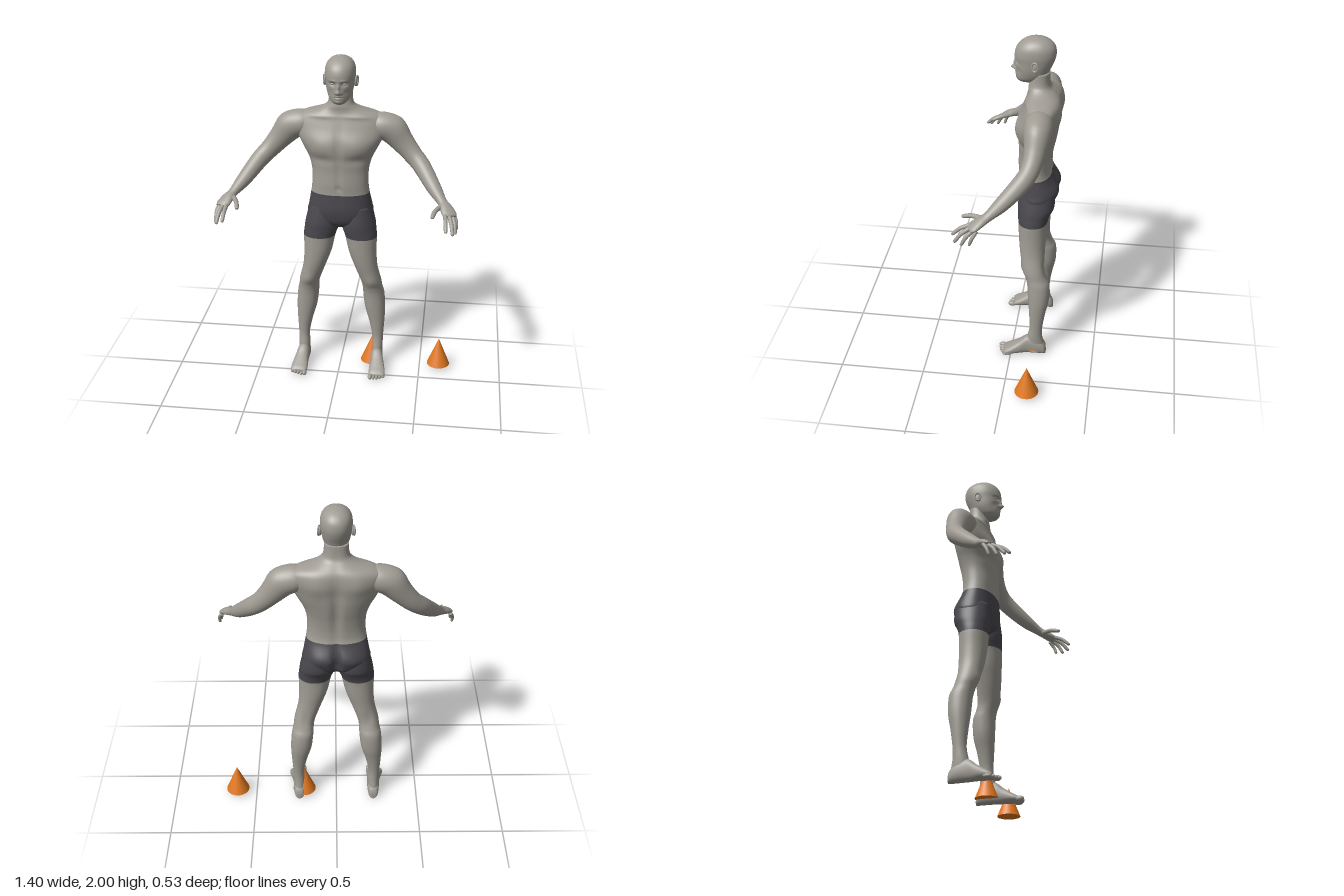
import * as THREE from 'three';

const material = (name, color) => {
  const m = new THREE.MeshStandardMaterial({ color });
  m.name = name;
  return m;
};
const skin = material('skin', 0xa09c94);
const cloth = material('dark cloth', 0x4a484e);
const orange = material('orange', 0xe07820);

// Catmull-Rom blend of four numbers
const blend = (a, b, c, d, t) =>
  0.5 * (2 * b + (c - a) * t + (2 * a - 5 * b + 4 * c - d) * t * t + (3 * b - a - 3 * c + d) * t * t * t);

// Smooth closed skin through sections [centre xyz, half axis u xyz, half axis v xyz]
function loft(sections, { segs = 32, sub = 5, power = 2, bumps = [], mid = -0.13, split = 0 } = {}) {
  const n = sections.length - 1, rows = [], pos = [], idx = [];
  const at = i => sections[Math.max(0, Math.min(n, i))];
  for (let i = 0; i < n; i++)
    for (let k = 0; k < sub; k++)
      rows.push(at(i).map((_, j) => blend(at(i - 1)[j], at(i)[j], at(i + 1)[j], at(i + 2)[j], k / sub)));
  rows.push(sections[n]);
  const vec = (r, o) => new THREE.Vector3(r[o], r[o + 1], r[o + 2]);
  const squash = v => Math.sign(v) * Math.abs(v) ** (2 / power);
  const along = vec(sections[n], 0).sub(vec(sections[0], 0));
  const middle = sections[n >> 1];
  const sign = vec(middle, 3).cross(vec(middle, 6)).dot(along) < 0 ? -1 : 1;
  for (const r of rows)
    for (let j = 0; j < segs; j++) {
      const a = j / segs * Math.PI * 2, cu = squash(Math.cos(a)), cv = squash(Math.sin(a)) * sign;
      const p = [0, 1, 2].map(k => r[k] + r[3 + k] * cu + r[6 + k] * cv);
      // soft bumps and hollows: [x, y, widthX, widthY, side, outward amount]
      let dz = 0;
      for (const [bx, by, wx, wy, side, amount] of bumps) {
        const facing = Math.max(0, Math.min(1, (p[2] - mid) * side / 0.05));
        dz += side * amount * facing * Math.exp(-(((Math.abs(p[0]) - bx) / wx) ** 2) - ((p[1] - by) / wy) ** 2);
      }
      pos.push(p[0], p[1], p[2] + dz);
    }
  const last = rows.length - 1, start = rows.length * segs;
  pos.push(...rows[0].slice(0, 3), ...rows[last].slice(0, 3));
  for (let j = 0; j < segs; j++) idx.push(start, (j + 1) % segs, j);
  for (let i = 0; i < last; i++)
    for (let j = 0; j < segs; j++) {
      const a = i * segs + j, b = i * segs + (j + 1) % segs;
      idx.push(a, b, a + segs, b, b + segs, a + segs);
    }
  for (let j = 0; j < segs; j++) idx.push(start + 1, last * segs + j, last * segs + (j + 1) % segs);
  const g = new THREE.BufferGeometry();
  g.setAttribute('position', new THREE.Float32BufferAttribute(pos, 3));
  g.setIndex(idx);
  if (split) {
    const cut = segs * 3 + split * sub * segs * 6;
    g.addGroup(0, cut, 0);
    g.addGroup(cut, idx.length - cut, 1);
  }
  g.computeVertexNormals();
  return g;
}

// Horizontal section from left/right and front/back limits
const level = (y, x1, x0, zf, zb) =>
  [(x1 + x0) / 2, y, (zf + zb) / 2, (x1 - x0) / 2, 0, 0, 0, 0, (zf - zb) / 2];

// Sections square to a path of [x, y, z, horizontal radius, other radius]
function limb(points, s) {
  const P = points.map(p => new THREE.Vector3(p[0] * s, p[1], p[2]));
  return points.map((p, i) => {
    const t = P[Math.min(i + 1, P.length - 1)].clone().sub(P[Math.max(i - 1, 0)]).normalize();
    const u = t.clone().cross(new THREE.Vector3(0, 1, 0)).normalize();
    const v = t.clone().cross(u);
    return [...P[i].toArray(), ...u.multiplyScalar(p[3]).toArray(), ...v.multiplyScalar(p[4]).toArray()];
  });
}

export function createModel() {
  const model = new THREE.Group();
  const add = (name, geometry, mat = skin) => {
    const mesh = new THREE.Mesh(geometry, mat);
    mesh.name = name;
    model.add(mesh);
    return mesh;
  };
  const ball = (name, x, y, z, a, b, c) => {
    const mesh = add(name, new THREE.SphereGeometry(1, 20, 14));
    mesh.position.set(x, y, z);
    mesh.scale.set(a, b, c);
    return mesh;
  };

  // Torso and neck, with the seat of the shorts below the waist
  const torso = [
    [0.965, 0.05, -0.07, -0.18], [1.0, 0.15, -0.035, -0.225], [1.05, 0.194, -0.02, -0.245],
    [1.1, 0.188, -0.015, -0.25], [1.185, 0.172, -0.02, -0.215], [1.25, 0.165, -0.018, -0.21],
    [1.33, 0.167, -0.02, -0.22], [1.4, 0.185, -0.014, -0.235], [1.46, 0.215, -0.01, -0.245],
    [1.52, 0.245, -0.015, -0.25], [1.58, 0.265, -0.037, -0.258], [1.63, 0.26, -0.055, -0.256],
    [1.66, 0.215, -0.065, -0.246], [1.685, 0.13, -0.07, -0.225], [1.71, 0.085, -0.07, -0.2],
    [1.74, 0.07, -0.075, -0.19], [1.8, 0.066, -0.085, -0.187],
  ].map(([y, w, f, b]) => level(y, w, -w, f, b));
  add('torso', loft(torso, {
    segs: 80, power: 2.25, split: 4,
    bumps: [
      [0.1, 1.48, 0.08, 0.055, 1, 0.012], [0, 1.5, 0.016, 0.1, 1, -0.009], [0.1, 1.4, 0.08, 0.025, 1, -0.008],
      [0, 1.225, 0.01, 0.012, 1, -0.01], [0, 1.3, 0.014, 0.1, 1, -0.006], [0.12, 1.652, 0.1, 0.012, 1, 0.006],
      [0, 1.42, 0.025, 0.2, -1, -0.018], [0.11, 1.57, 0.06, 0.08, -1, 0.012],
      [0, 1.06, 0.02, 0.08, -1, -0.035], [0.1, 1.08, 0.07, 0.06, -1, 0.012],
    ],
  }), [cloth, skin]);

  // Head with a sculpted face
  const head = [
    [1.738, 0.03, -0.022, -0.1], [1.745, 0.04, -0.012, -0.12], [1.762, 0.056, -0.004, -0.15],
    [1.79, 0.069, -0.001, -0.178], [1.82, 0.077, 0.001, -0.192], [1.86, 0.083, 0.003, -0.21],
    [1.9, 0.087, 0.007, -0.22], [1.94, 0.083, -0.004, -0.216], [1.97, 0.067, -0.03, -0.195],
    [1.99, 0.04, -0.065, -0.16], [2.0, 0.004, -0.105, -0.115],
  ].map(([y, w, f, b]) => level(y, w, -w, f, b));
  add('head', loft(head, {
    segs: 110, sub: 8, power: 2.15, mid: -0.08,
    bumps: [
      [0, 1.815, 0.011, 0.012, 1, 0.026], [0, 1.842, 0.009, 0.022, 1, 0.014], [0.014, 1.81, 0.008, 0.007, 1, 0.008],
      [0.033, 1.86, 0.016, 0.011, 1, -0.012], [0.03, 1.879, 0.025, 0.007, 1, 0.005],
      [0, 1.79, 0.02, 0.005, 1, 0.006], [0, 1.777, 0.017, 0.005, 1, 0.006], [0, 1.784, 0.024, 0.003, 1, -0.004],
      [0, 1.757, 0.02, 0.01, 1, 0.006], [0.045, 1.81, 0.014, 0.02, 1, -0.005],
    ],
  }));

  for (const s of [1, -1]) {
    const side = s > 0 ? 'left' : 'right';
    ball(side + 'Eye', s * 0.033, 1.86, -0.02, 0.013, 0.008, 0.012);

    // Ear: rim around a flat shell
    ball(side + 'Ear', s * 0.086, 1.853, -0.11, 0.009, 0.028, 0.017).rotation.y = s * -0.3;
    const rim = add(side + 'EarRim', new THREE.TorusGeometry(0.018, 0.005, 8, 24));
    rim.position.set(s * 0.093, 1.856, -0.112);
    rim.rotation.y = Math.PI / 2 - s * 0.3;
    rim.scale.y = 1.4;

    // Leg, with the shorts covering the upper thigh
    const leg = [
      [1.1, 0.183, 0.02, -0.035, -0.235], [1.0, 0.208, 0.01, -0.025, -0.237], [0.95, 0.215, 0.013, -0.027, -0.215],
      [0.9, 0.22, 0.03, -0.03, -0.2], [0.8, 0.219, 0.052, -0.035, -0.195], [0.7, 0.226, 0.088, -0.045, -0.19],
      [0.6, 0.25, 0.125, -0.065, -0.195], [0.55, 0.257, 0.135, -0.082, -0.207], [0.5, 0.268, 0.138, -0.093, -0.226],
      [0.4, 0.275, 0.15, -0.1, -0.225], [0.3, 0.272, 0.178, -0.108, -0.205], [0.2, 0.266, 0.198, -0.113, -0.19],
      [0.13, 0.265, 0.195, -0.1, -0.19], [0.07, 0.262, 0.198, -0.09, -0.2], [0.02, 0.256, 0.204, -0.1, -0.205],
    ].map(([y, o, i, f, b]) => level(y, s * o, s * i, f, b));
    add(side + 'Leg', loft(leg, {
      segs: 40, power: 2.1, split: 3,
      bumps: [[0.19, 0.61, 0.03, 0.03, 1, 0.008], [0.19, 0.62, 0.025, 0.05, -1, -0.008]],
    }), [cloth, skin]);

    // Foot and toes
    const foot = [
      [-0.213, 0.23, 0.012, 0.035], [-0.202, 0.23, 0.028, 0.07], [-0.16, 0.23, 0.036, 0.11],
      [-0.1, 0.232, 0.038, 0.125], [-0.05, 0.238, 0.043, 0.09], [0, 0.242, 0.05, 0.058],
      [0.03, 0.243, 0.05, 0.04], [0.045, 0.242, 0.045, 0.026],
    ].map(([z, x, w, h]) => [s * x, h / 2 + 0.002, z, w, 0, 0, 0, h / 2, 0]);
    add(side + 'Foot', loft(foot, { segs: 28, power: 2.4 }));
    for (let i = 0; i < 5; i++) {
      const r = i ? 0.0095 : 0.014;
      ball(side + 'Toe', s * (0.205 + i * 0.02), r + 0.003, 0.052 - i * i * 0.0018, r, r + 0.002, 0.026);
    }

    // Arm from the shoulder to the palm
    add(side + 'Arm', loft(limb([
      [0.14, 1.605, -0.155, 0.05, 0.04], [0.22, 1.59, -0.152, 0.078, 0.076], [0.3, 1.56, -0.152, 0.075, 0.085],
      [0.36, 1.487, -0.147, 0.06, 0.067], [0.42, 1.42, -0.13, 0.052, 0.056], [0.475, 1.365, -0.092, 0.05, 0.052],
      [0.55, 1.275, 0.003, 0.042, 0.041], [0.6, 1.222, 0.072, 0.029, 0.026], [0.625, 1.2, 0.112, 0.038, 0.023],
      [0.645, 1.178, 0.147, 0.043, 0.019], [0.652, 1.168, 0.165, 0.034, 0.012],
    ], s), { segs: 36 }));

    // Fingers: base, knuckle and tip of each
    const fingers = [
      ['Thumb', [0.598, 1.205, 0.1], [0.566, 1.198, 0.165], [0.55, 1.18, 0.222], 0.013],
      ['IndexFinger', [0.622, 1.182, 0.15], [0.627, 1.155, 0.215], [0.631, 1.112, 0.265], 0.0115],
      ['MiddleFinger', [0.642, 1.178, 0.15], [0.659, 1.143, 0.205], [0.67, 1.09, 0.248], 0.0115],
      ['RingFinger', [0.66, 1.172, 0.14], [0.678, 1.133, 0.18], [0.684, 1.082, 0.208], 0.011],
      ['LittleFinger', [0.672, 1.168, 0.125], [0.687, 1.13, 0.148], [0.688, 1.088, 0.163], 0.01],
    ];
    for (const [name, base, knuckle, tip, r] of fingers) {
      const mix = (a, b, t) => a.map((v, k) => v + (b[k] - v) * t);
      add(side + name, loft(limb([
        [...base, r * 1.1, r * 1.1], [...knuckle, r, r], [...mix(knuckle, tip, 0.85), r * 0.85, r * 0.8],
        [...tip, r * 0.25, r * 0.25],
      ], s), { segs: 14 }));
    }
  }

  // Cones on the ground
  for (const x of [0.2, 0.617]) {
    add('cone', new THREE.ConeGeometry(0.07, 0.175, 32), orange).position.set(x, 0.1165, -0.14);
  }
  return model;
}
